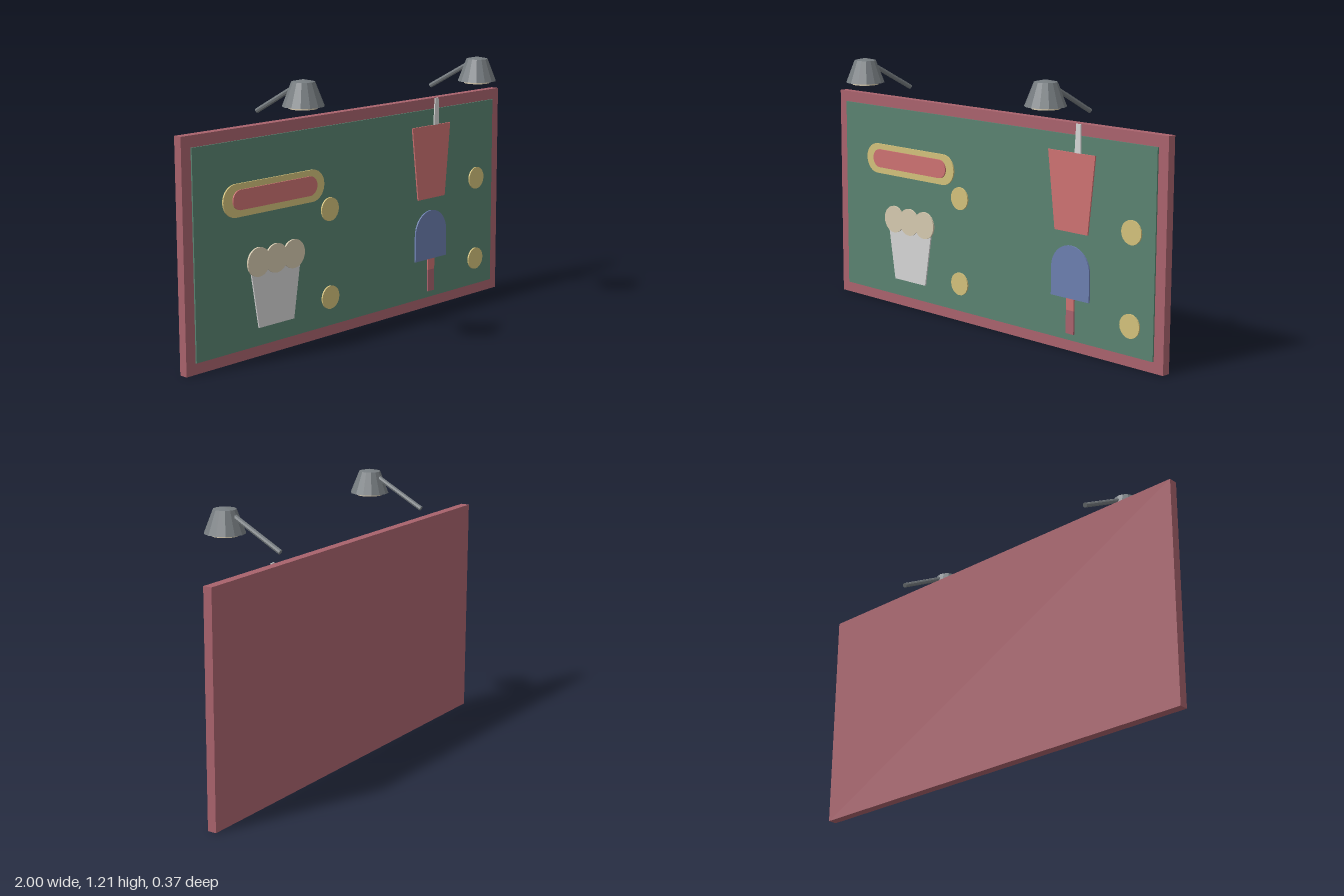
import * as THREE from 'three';

const mat = (name, color) => {
  const m = new THREE.MeshStandardMaterial({ color, flatShading: true });
  m.name = name;
  return m;
};

export function createModel() {
  const frameRed = mat('frameRed', 0xa8626c);
  const green = mat('panelGreen', 0x598270);
  const gold = mat('gold', 0xd2c07a);
  const red = mat('foodRed', 0xcc7171);
  const blue = mat('iceBlue', 0x6b7eae);
  const white = mat('paperWhite', 0xd4d4d4);
  const cream = mat('cream', 0xd4c8ae);
  const grey = mat('lampGrey', 0x767c80);

  const model = new THREE.Group();
  model.name = 'menuSign';
  const add = (name, geo, material, parent = model) => {
    const mesh = new THREE.Mesh(geo, material);
    mesh.name = name;
    parent.add(mesh);
    return mesh;
  };

  // Board
  const BACK = -0.18, PANEL = -0.133, LOW = -0.126, HIGH = -0.12;
  add('frame', new THREE.BoxGeometry(2, 1, 0.04), frameRed).position.set(0, 0.5, BACK + 0.02);
  add('panel', new THREE.BoxGeometry(1.9, 0.9, 0.007), green).position.set(0, 0.5, PANEL - 0.0035);

  // Flat plates lying on the panel
  const plate = (name, shape, material, z0 = PANEL, z1 = LOW) => {
    const geo = new THREE.ExtrudeGeometry(shape, { depth: z1 - z0, bevelEnabled: false, curveSegments: 10 });
    add(name, geo, material).position.z = z0;
  };
  const poly = (...pts) => new THREE.Shape(pts.map(([x, y]) => new THREE.Vector2(x, y)));
  const pill = (x0, x1, y, r) => {
    const s = new THREE.Shape();
    s.absarc(x1 - r, y, r, -Math.PI / 2, Math.PI / 2);
    s.absarc(x0 + r, y, r, Math.PI / 2, Math.PI * 1.5);
    return s;
  };
  const disc = (x, y, r) => new THREE.Shape().absarc(x, y, r, 0, Math.PI * 2);

  // Hot dog
  plate('bun', pill(-0.795, -0.21, 0.7, 0.071), gold);
  plate('sausage', pill(-0.745, -0.258, 0.702, 0.043), red, LOW, HIGH);

  // Popcorn
  plate('popcornBucket', poly([-0.605, 0.13], [-0.4, 0.13], [-0.358, 0.39], [-0.647, 0.39]), white);
  const puffs = new THREE.Shape();
  const r = 0.064, cy = 0.42, xs = [-0.605, -0.503, -0.401];
  const a = Math.acos(0.051 / r); // angle where neighbouring puffs meet
  puffs.absarc(xs[0], cy, r, a, Math.PI * 2 - a);
  puffs.absarc(xs[1], cy, r, Math.PI + a, Math.PI * 2 - a);
  puffs.absarc(xs[2], cy, r, -Math.PI + a, Math.PI - a);
  puffs.absarc(xs[1], cy, r, a, Math.PI - a);
  plate('popcorn', puffs, cream, LOW - 0.002, HIGH);

  // Drink cup
  plate('cup', poly([0.407, 0.53], [0.593, 0.53], [0.629, 0.875], [0.366, 0.875]), red);
  plate('straw', poly([0.515, 0.875], [0.549, 0.875], [0.545, 1], [0.522, 1]), white, PANEL + 0.001, LOW);

  // Ice lolly
  const lolly = new THREE.Shape();
  lolly.moveTo(0.39, 0.237);
  lolly.lineTo(0.606, 0.237);
  lolly.absarc(0.498, 0.363, 0.108, 0, Math.PI);
  plate('iceLolly', lolly, blue);
  plate('lollyStickTop', poly([0.478, 0.185], [0.522, 0.185], [0.522, 0.237], [0.478, 0.237]), red);
  plate('lollyStick', poly([0.478, 0.08], [0.522, 0.08], [0.522, 0.185], [0.478, 0.185]), frameRed);

  // Price dots
  for (const x of [-0.173, 0.828])
    for (const y of [0.18, 0.58]) plate('priceDot', disc(x, y, 0.053), gold);

  // Lamps
  const shadeProfile = [[0, 1.1], [0.088, 1.1], [0.049, 1.2], [0, 1.21]]
    .map(([x, y]) => new THREE.Vector2(x, y));
  const from = new THREE.Vector3(0, 1.053, -0.18), to = new THREE.Vector3(0, 1.172, 0.045);
  const dir = to.clone().sub(from);
  for (const x of [-0.55, 0.55]) {
    const lamp = new THREE.Group();
    lamp.name = x < 0 ? 'rightLamp' : 'leftLamp';
    lamp.position.x = x;
    model.add(lamp);
    add('shade', new THREE.LatheGeometry(shadeProfile, 14), grey, lamp).position.z = 0.098;
    add('bulb', new THREE.CylinderGeometry(0.06, 0.06, 0.012, 14), cream, lamp).position.set(0, 1.096, 0.098);
    const arm = add('arm', new THREE.CylinderGeometry(0.011, 0.011, dir.length(), 8), grey, lamp);
    arm.position.copy(from).add(to).multiplyScalar(0.5);
    arm.quaternion.setFromUnitVectors(new THREE.Vector3(0, 1, 0), dir.clone().normalize());
  }
  return model;
}
